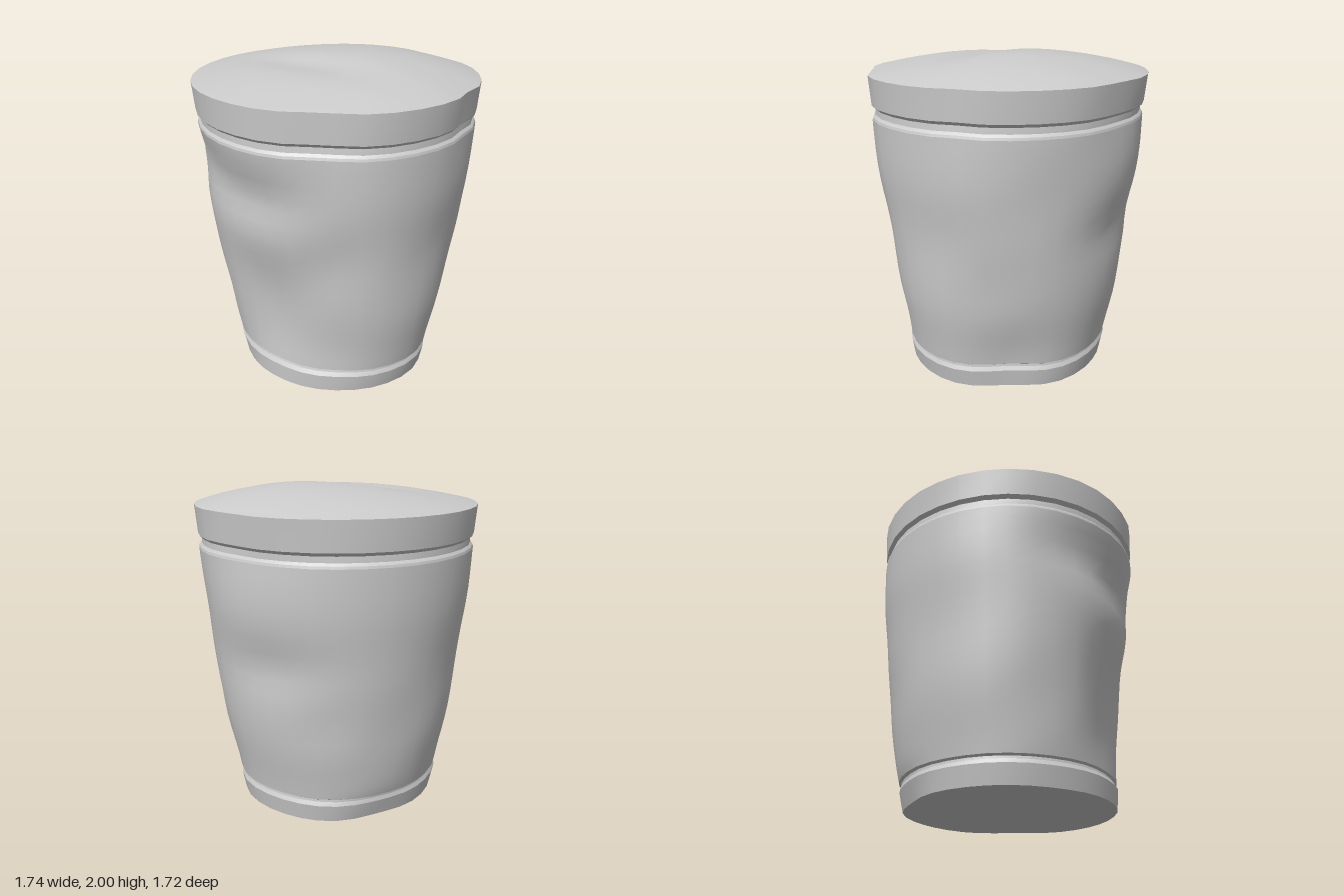
import * as THREE from 'three';

const SIDES = 36;

// Dents pushed into the wall: [angle (deg, 90 = front), height, angular width, height spread, depth]
// A negative depth is a bulge.
const DENTS = [
  [56, 1.9, 13, 0.6, 0.05], [-9, 1.9, 7, 0.4, 0.03], [-76, 1.9, 11, 0.35, 0.03], [85, 1.9, 22, 0.3, 0.015],
  [85, 0.6, 28, 0.46, 0.12], [88, 1.33, 27, 0.18, 0.08], [120, 1.42, 18, 0.16, 0.045],
  [52, 0.95, 14, 0.25, 0.04], [50, 0.4, 14, 0.35, 0.03], [8, 0.35, 18, 0.4, -0.015],
  [0, 0.98, 20, 0.2, 0.012], [-30, 0.12, 18, 0.4, 0.06], [-22, 0.7, 12, 0.2, 0.02], [-45, 1.3, 13, 0.2, 0.015],
  [270, 1.0, 24, 0.16, 0.038], [270, 1.62, 20, 0.1, 0.015], [270, 0.1, 25, 0.2, 0.01],
  [245, 0.65, 14, 0.15, 0.015], [215, 0.03, 20, 0.13, 0.045], [215, 0.6, 14, 0.2, 0.015],
  [135, 0.5, 14, 0.2, 0.02], [125, 0.05, 20, 0.2, 0.02], [180, 0.95, 20, 0.2, 0.01], [180, 0.1, 20, 0.2, 0.01],
];

function dentAt(deg, y) {
  let d = 0;
  for (const [a, h, w, s, depth] of DENTS) {
    const da = ((deg - a + 540) % 360) - 180;
    d += depth * Math.exp(-((da / w) ** 2) - ((y - h) / s) ** 2);
  }
  return d;
}

function wallPoint(i, r, y) {
  const deg = i * 360 / SIDES, t = THREE.MathUtils.degToRad(deg);
  const rr = r - dentAt(deg, y);
  return [Math.cos(t) * rr, y, Math.sin(t) * rr];
}

const ring = (r, y) => Array.from({ length: SIDES }, (_, i) => wallPoint(i, r, y));

// Skin a stack of rings; every ring is a list of SIDES points, bottom to top
function skin(name, rings, material) {
  const index = [];
  for (let k = 0; k < rings.length - 1; k++) {
    for (let i = 0; i < SIDES; i++) {
      const a = k * SIDES + i, b = k * SIDES + (i + 1) % SIDES;
      index.push(a, a + SIDES, b, b, a + SIDES, b + SIDES);
    }
  }
  const g = new THREE.BufferGeometry();
  g.setAttribute('position', new THREE.Float32BufferAttribute(rings.flat(2), 3));
  g.setIndex(index);
  g.computeVertexNormals();
  const mesh = new THREE.Mesh(g, material);
  mesh.name = name;
  return mesh;
}

export function createModel() {
  const group = new THREE.Group();
  group.name = 'dentedBin';
  const mat = new THREE.MeshStandardMaterial({ color: 0xcccccc, side: THREE.DoubleSide });

  // Tapered body, sampled from a smooth profile
  const profile = new THREE.SplineCurve([
    [0.683, 0.165], [0.705, 0.3], [0.752, 0.55], [0.785, 0.85], [0.812, 1.1], [0.842, 1.35], [0.856, 1.62],
  ].map(p => new THREE.Vector2(...p)));
  group.add(skin('body', profile.getPoints(18).map(p => ring(p.x, p.y)), mat));

  // Crisp bands: each pair of radius/height values is its own hard-edged strip
  const bands = (name, pts) => {
    const part = new THREE.Group();
    part.name = name;
    for (let k = 0; k < pts.length - 1; k++) {
      part.add(skin(name + 'Strip', [ring(...pts[k]), ring(...pts[k + 1])], mat));
    }
    group.add(part);
  };
  bands('base', [[0.658, 0], [0.682, 0.115], [0.67, 0.14], [0.668, 0.155], [0.683, 0.165]]);
  bands('neckGroove', [[0.856, 1.62], [0.852, 1.635], [0.838, 1.65], [0.836, 1.685], [0.857, 1.705]]);
  bands('lidRim', [[0.857, 1.705], [0.872, 1.88]]);

  // Lid: shallow dome with an off-centre peak and a pressed-in crease
  const lidRings = [];
  const STEPS = 12, rim = ring(0.872, 1.88), peak = [0.1, -0.14];
  for (let k = 0; k <= STEPS; k++) {
    const f = 1 - k / STEPS;
    lidRings.push(rim.map(([x, , z]) => {
      const px = peak[0] + (x - peak[0]) * f, pz = peak[1] + (z - peak[1]) * f;
      const hollow = 0.03 * Math.exp(-(((px + 0.03) / 0.45) ** 2) - ((pz - 0.2) / 0.14) ** 2);
      return [px, 1.88 + 0.12 * (1 - f ** 1.9) - hollow * (1 - f ** 4), pz];
    }));
  }
  group.add(skin('lidTop', lidRings, mat));

  // Nearly flat underside
  const foot = ring(0.658, 0);
  group.add(skin('bottom', [foot.map(() => [0, 0.01, 0]), foot], mat));
  return group;
}
